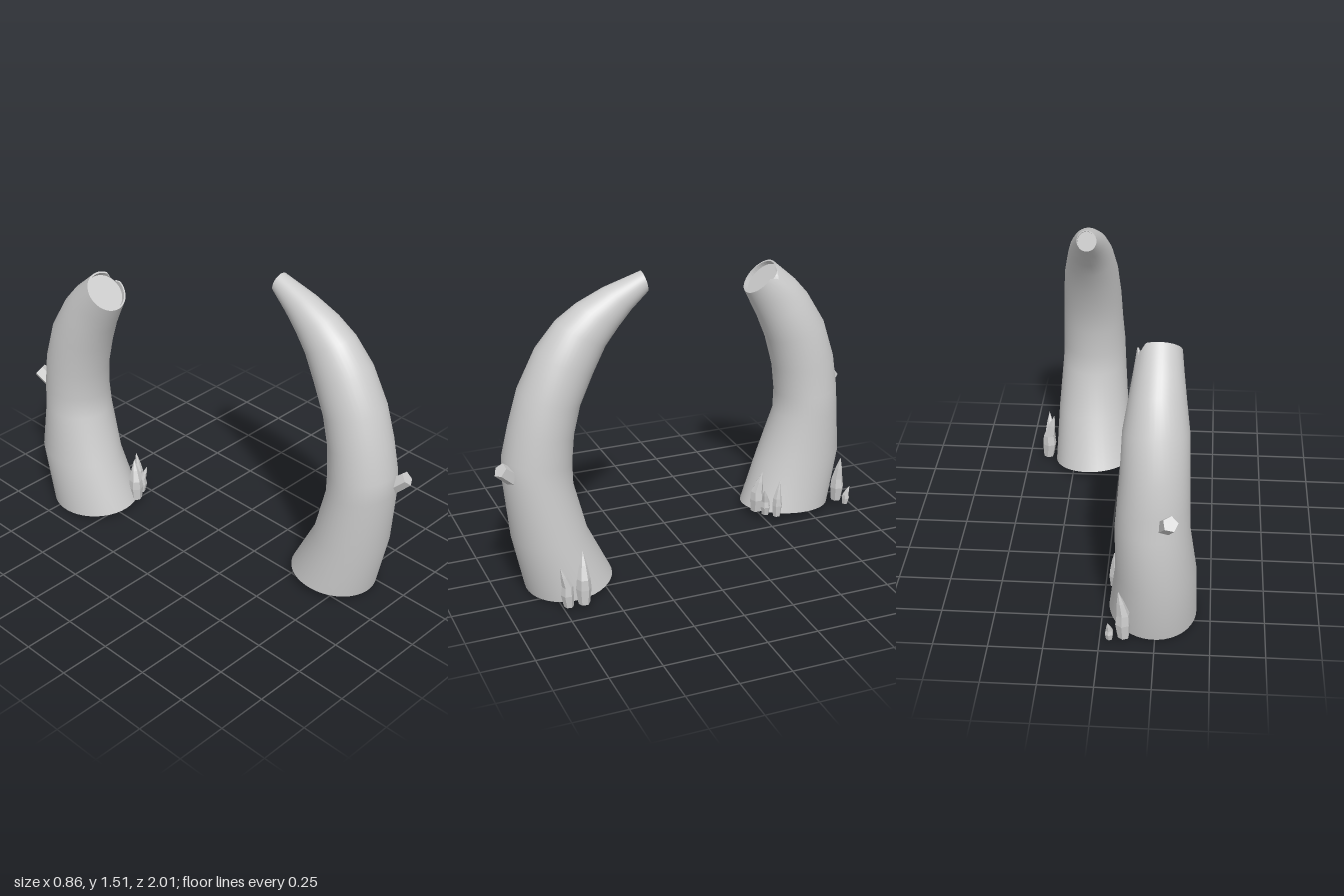
import * as THREE from 'three';

const V = (x, y, z) => new THREE.Vector3(x, y, z);
const grey = new THREE.MeshStandardMaterial({ color: 0xcccccc });
const greyFlat = new THREE.MeshStandardMaterial({ color: 0xcccccc, flatShading: true });

// Skin closed rings of points; a ring of identical points makes a tip or a cap.
function loft(name, rings, flat) {
  const n = rings[0].length, pos = [], idx = [];
  rings.forEach(r => r.forEach(p => pos.push(p.x, p.y, p.z)));
  const closed = r => r[0].distanceTo(r[1]) < 1e-6;
  for (let i = 0; i < rings.length - 1; i++) {
    for (let j = 0; j < n; j++) {
      const k = (j + 1) % n, a = i * n, b = a + n;
      if (!closed(rings[i])) idx.push(a + j, a + k, b + j);
      if (!closed(rings[i + 1])) idx.push(a + k, b + k, b + j);
    }
  }
  let g = new THREE.BufferGeometry();
  g.setAttribute('position', new THREE.Float32BufferAttribute(pos, 3));
  g.setIndex(idx);
  if (flat) g = g.toNonIndexed();
  g.computeVertexNormals();
  const mesh = new THREE.Mesh(g, flat ? greyFlat : grey);
  mesh.name = name;
  return mesh;
}

// Curved horn. Each section: [outer z, outer y, inner z, inner y, centre x, half width].
function horn(name, sections, baseTilt, notch) {
  const SIDES = 40, group = new THREE.Group();
  group.name = name;
  const side = Math.sign(sections[0][0]);
  const rings = sections.map(([oz, oy, iz, iy, cx, rx], i) =>
    Array.from({ length: SIDES }, (_, j) => {
      const a = j / SIDES * Math.PI * 2, c = Math.cos(a) * -side, s = Math.sin(a);
      const tilt = i === 0 ? baseTilt * c : 0;
      return V(cx + rx * c, (oy + iy) / 2 + s * (oy - iy) / 2 + tilt, (oz + iz) / 2 + s * (oz - iz) / 2);
    }));
  const top = rings[rings.length - 1], below = rings[rings.length - 2];
  const middle = ring => ring.reduce((m, p) => m.add(p), V(0, 0, 0)).divideScalar(SIDES);
  const centre = middle(top);
  const axis = centre.clone().sub(middle(below)).normalize();
  const inner = top.map(p => p.clone().lerp(centre, 0.08));
  const floor = inner.map(p => p.clone().addScaledVector(axis, -0.022));
  // chipped piece of the rim
  notch.forEach(([j, depth]) => {
    top[j].addScaledVector(axis, -depth);
    inner[j].addScaledVector(axis, -Math.min(depth, 0.021));
  });
  const fan = p => Array.from({ length: SIDES }, () => p);
  group.add(
    loft('hornBody', rings, false),
    loft('hornBase', [fan(middle(rings[0])), rings[0]], true),
    loft('hollowEnd', [top, inner, floor, fan(middle(floor))], true));
  return group;
}

// Grass blade: a six-sided spindle that swells, bends and runs to a point.
function blade([bx, by, bz], [tx, ty, tz], width) {
  const profile = [[0, 0, 0], [0, 0.75, 0], [0.3, 1, 0.15], [0.5, 0.85, 0.1], [0.75, 0.5, 0.55], [1, 0, 1]];
  const rings = profile.map(([t, r, lean]) => Array.from({ length: 6 }, (_, j) => {
    const a = j / 6 * Math.PI * 2 + 0.4;
    return V(
      bx + (tx - bx) * lean + Math.cos(a) * r * width,
      by + (ty - by) * t,
      bz + (tz - bz) * lean - Math.sin(a) * r * width);
  }));
  return loft('grassBlade', rings, true);
}

// Short faceted stub between two points.
function stub(from, to) {
  const dir = to.clone().sub(from);
  const mesh = new THREE.Mesh(new THREE.CylinderGeometry(0.036, 0.04, dir.length(), 5), greyFlat);
  mesh.name = 'stub';
  mesh.position.copy(from).addScaledVector(dir, 0.5);
  mesh.quaternion.setFromUnitVectors(V(0, 1, 0), dir.normalize());
  return mesh;
}

export function createModel() {
  const model = new THREE.Group();
  model.name = 'hornPair';

  // tall slender horn at the front
  model.add(horn('frontHorn', [
    [0.86, 0.01, 0.44, 0.05, 0.143, 0.208],
    [0.92, 0.29, 0.56, 0.30, 0.152, 0.187],
    [0.95, 0.60, 0.62, 0.54, 0.149, 0.167],
    [0.945, 0.70, 0.622, 0.65, 0.149, 0.163],
    [0.91, 0.85, 0.61, 0.79, 0.153, 0.156],
    [0.86, 1.02, 0.575, 0.93, 0.153, 0.149],
    [0.77, 1.20, 0.51, 1.07, 0.152, 0.136],
    [0.67, 1.32, 0.445, 1.19, 0.15, 0.115],
    [0.57, 1.39, 0.38, 1.27, 0.149, 0.097],
    [0.44, 1.45, 0.315, 1.34, 0.146, 0.076],
    [0.26, 1.508, 0.235, 1.41, 0.143, 0.048],
  ], -0.015, []));

  // shorter, broken horn at the back
  model.add(horn('backHorn', [
    [-0.91, 0.005, -0.44, 0.035, -0.233, 0.203],
    [-0.973, 0.30, -0.53, 0.28, -0.245, 0.185],
    [-0.946, 0.55, -0.614, 0.53, -0.228, 0.168],
    [-0.942, 0.66, -0.618, 0.64, -0.231, 0.162],
    [-0.92, 0.83, -0.603, 0.78, -0.235, 0.154],
    [-0.86, 1.02, -0.56, 0.94, -0.236, 0.148],
    [-0.77, 1.17, -0.51, 1.06, -0.238, 0.126],
    [-0.70, 1.25, -0.47, 1.14, -0.239, 0.113],
    [-0.585, 1.35, -0.439, 1.205, -0.24, 0.1],
  ], 0.013, [[2, 0.015], [3, 0.04], [4, 0.03], [5, 0.015]]));

  // stubs on the outer curves
  model.add(stub(V(0.205, 0.62, 0.91), V(0.232, 0.685, 0.98)));
  model.add(stub(V(-0.285, 0.62, -0.91), V(-0.312, 0.68, -0.98)));

  // grass around the bases: base point, tip point, half width
  const grass = new THREE.Group();
  grass.name = 'grass';
  [
    [[0.395, 0.02, 0.655], [0.36, 0.275, 0.645], 0.037],
    [[0.395, 0.02, 0.73], [0.40, 0.23, 0.768], 0.031],
    [[-0.135, 0.04, -0.47], [-0.12, 0.26, -0.495], 0.038],
    [[-0.075, 0.04, -0.495], [-0.05, 0.19, -0.475], 0.025],
    [[-0.045, 0.035, -0.545], [-0.045, 0.235, -0.562], 0.026],
    [[-0.11, 0.03, -0.925], [-0.085, 0.28, -0.93], 0.036],
    [[-0.047, 0.03, -0.945], [-0.04, 0.13, -0.965], 0.02],
  ].forEach(b => grass.add(blade(...b)));
  model.add(grass);
  return model;
}
